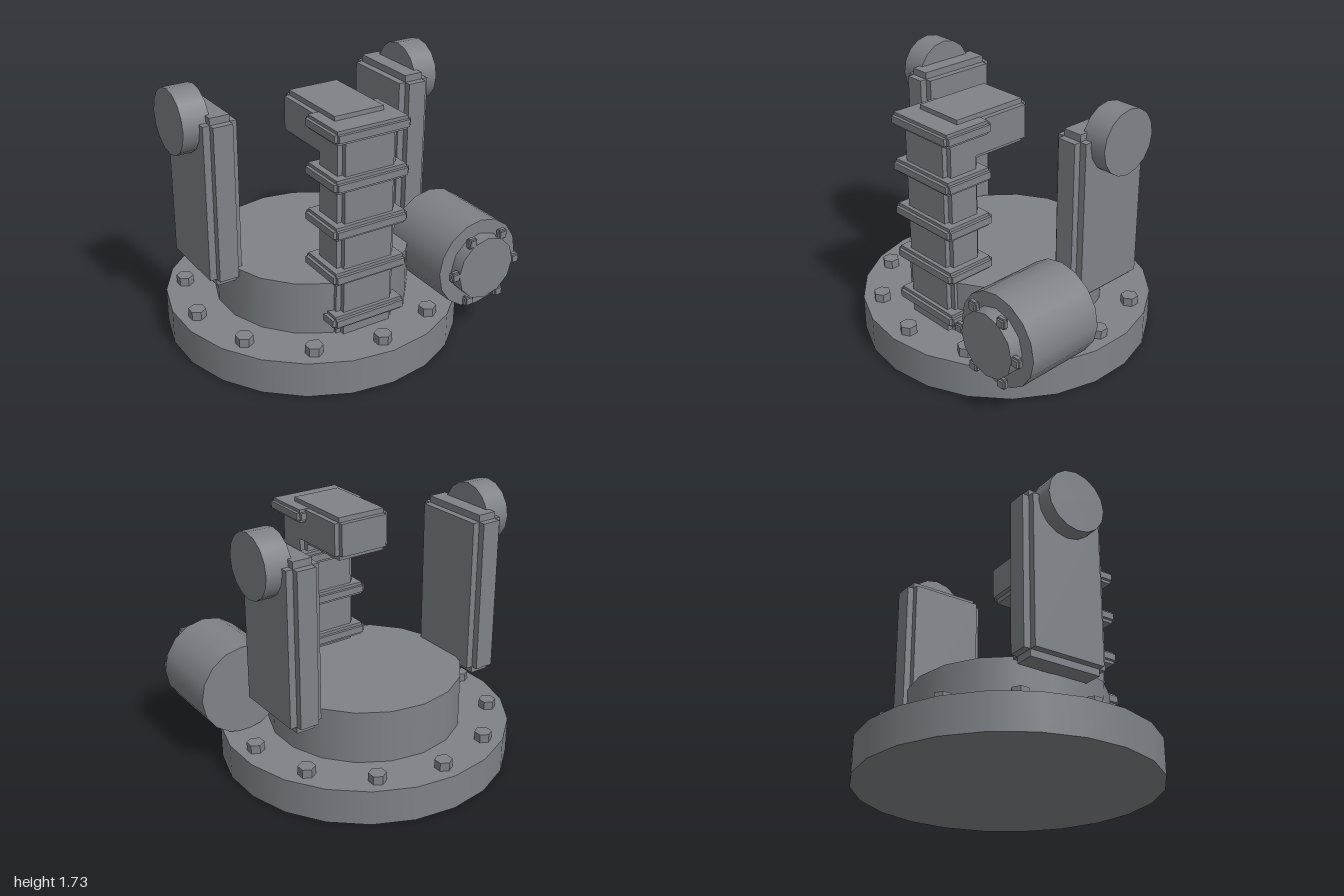
import * as THREE from 'three';

const COLOR = 0x7e8287;
const material = new THREE.MeshStandardMaterial({ color: COLOR });
const flatMaterial = new THREE.MeshStandardMaterial({ color: COLOR, flatShading: true });
const AXIS = -0.055; // x of the base's centre

// Cylinder along the given axis
function cylinder(name, radius, length, sides, axis, x, y, z, mat = material) {
  const geometry = new THREE.CylinderGeometry(radius, radius, length, sides);
  if (axis === 'x') geometry.rotateZ(Math.PI / 2);
  if (axis === 'z') geometry.rotateX(Math.PI / 2);
  const mesh = new THREE.Mesh(geometry, mat);
  mesh.name = name;
  mesh.position.set(x, y, z);
  return mesh;
}

// Box whose edges are notched by a square step: three crossing boxes
function steppedBox(name, w, h, d, step, x, y, z) {
  const group = new THREE.Group();
  group.name = name;
  const s = 2 * step;
  for (const size of [[w, h - s, d - s], [w - s, h, d - s], [w - s, h - s, d]]) {
    const mesh = new THREE.Mesh(new THREE.BoxGeometry(...size), material);
    mesh.name = name + 'Block';
    group.add(mesh);
  }
  group.position.set(x, y, z);
  return group;
}

export function createModel() {
  const model = new THREE.Group();
  model.name = 'machine';

  // Round base with a raised drum
  model.add(cylinder('base', 0.955, 0.233, 22, 'y', AXIS, 0.1165, 0));
  model.add(cylinder('drum', 0.637, 0.35, 18, 'y', AXIS, 0.407, 0));

  // Ring of hexagonal bolts
  for (let i = 0; i < 12; i++) {
    const a = (i * Math.PI) / 6;
    model.add(cylinder('baseBolt', 0.056, 0.07, 6, 'y',
      AXIS + 0.835 * Math.sin(a), 0.255, 0.835 * Math.cos(a), flatMaterial));
  }

  // Side pylons, each with an outer disc
  for (const side of [-1, 1]) {
    const prefix = side > 0 ? 'left' : 'right';
    model.add(steppedBox(prefix + 'Pylon', 0.218, 1.1, 0.58, 0.045, AXIS + side * 0.685, 1.045, -0.117));
    model.add(cylinder(prefix + 'PylonDisc', 0.205, 0.172, 16, 'x', AXIS + side * 0.811, 1.522, -0.117));
  }

  // Front column with collars and a head reaching backwards
  model.add(steppedBox('column', 0.403, 1.33, 0.26, 0.033, AXIS, 0.87, 0.527));
  for (let i = 0; i < 5; i++) {
    model.add(steppedBox('columnCollar', 0.52, 0.085, 0.355, 0.02, AXIS, 0.35 + i * 0.301, 0.524));
  }
  model.add(steppedBox('columnHead', 0.403, 0.28, 0.575, 0.033, AXIS, 1.485, 0.2855));

  // Motor with end cap and a ring of small bolts
  const mx = 0.7, my = 0.525;
  model.add(cylinder('motor', 0.3, 0.52, 16, 'z', mx, my, 0.522));
  model.add(cylinder('motorCap', 0.21, 0.09, 12, 'z', mx, my, 0.82));
  for (let i = 0; i < 6; i++) {
    const a = (i * Math.PI) / 3;
    model.add(steppedBox('motorBolt', 0.068, 0.068, 0.045, 0.012,
      mx + 0.235 * Math.cos(a), my + 0.235 * Math.sin(a), 0.847));
  }
  return model;
}
